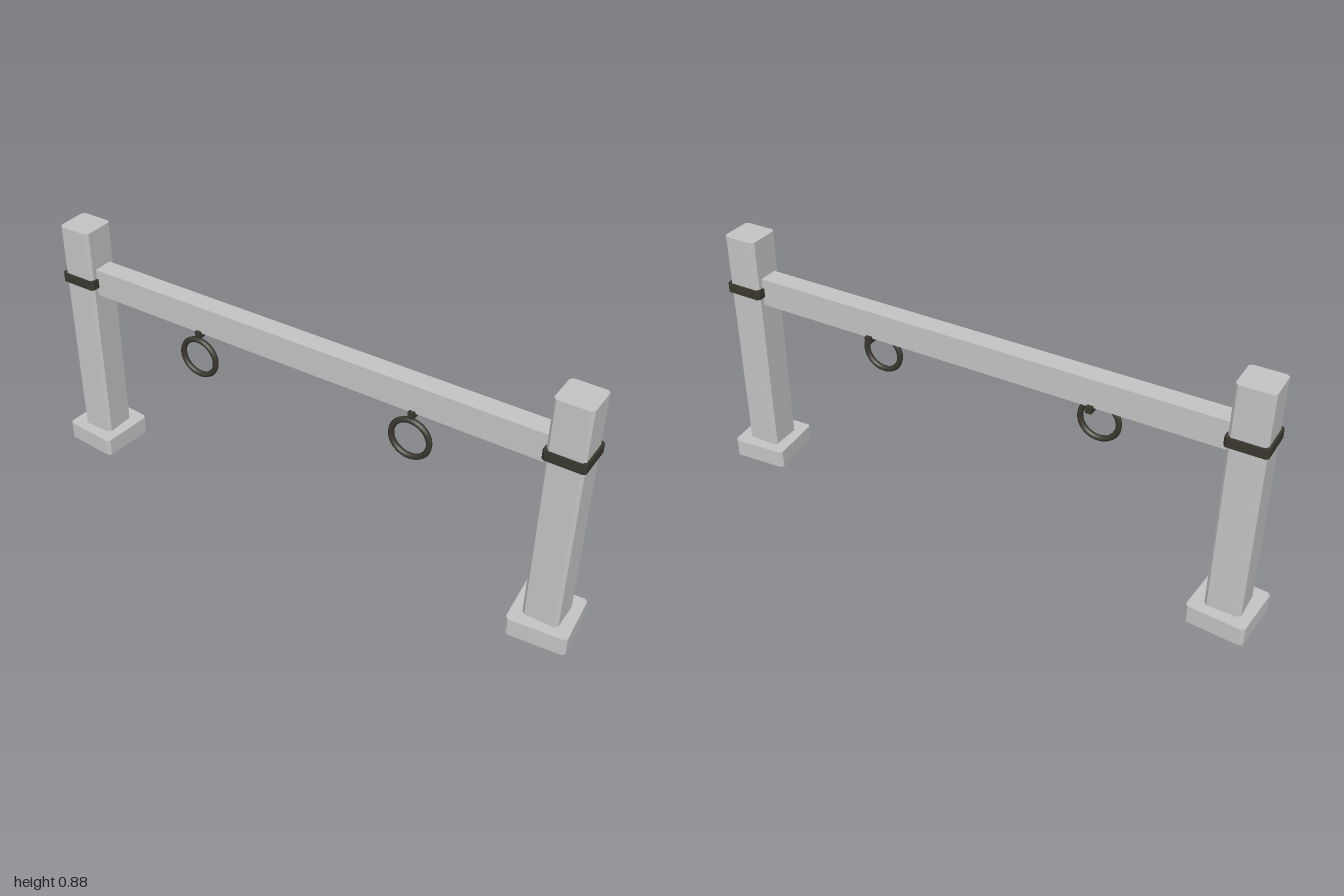
import * as THREE from 'three';

const stone = new THREE.MeshStandardMaterial({ color: 0xc5c5c5 });
stone.name = 'grey stone';
const iron = new THREE.MeshStandardMaterial({ color: 0x3a382f });
iron.name = 'dark iron';

// Square outline with cut corners
function chamferedSquare(size, cut, Type = THREE.Shape) {
  const h = size / 2, k = h - cut;
  return new Type([[k, -h], [h, -k], [h, k], [k, h], [-k, h], [-h, k], [-h, -k], [-k, -h]]
    .map(([x, y]) => new THREE.Vector2(x, y)));
}

// Upright prism on that outline, from y0 to y1, optionally hollow
function prism(name, material, size, cut, y0, y1, hole = 0) {
  const shape = chamferedSquare(size, cut);
  if (hole) shape.holes.push(chamferedSquare(hole, cut, THREE.Path));
  const geometry = new THREE.ExtrudeGeometry(shape, { depth: y1 - y0, bevelEnabled: false });
  geometry.rotateX(-Math.PI / 2).translate(0, y0, 0);
  const mesh = new THREE.Mesh(geometry, material);
  mesh.name = name;
  return mesh;
}

export function createModel() {
  const model = new THREE.Group();
  model.name = 'hitchingRail';

  for (const side of [-1, 1]) {
    const label = side > 0 ? 'left' : 'right';

    // Post on a slightly turned footing, with an iron band
    const support = new THREE.Group();
    support.name = label + 'Support';
    support.position.x = side * 0.894;
    const footing = prism('footing', stone, 0.2, 0.01, 0, 0.065);
    footing.position.x = side * -0.001;
    footing.rotation.y = side * 0.08;
    support.add(
      footing,
      prism('post', stone, 0.12, 0.01, 0.065, 0.882),
      prism('band', iron, 0.135, 0.008, 0.674, 0.706, 0.118),
    );
    model.add(support);

    // Tether ring hung from a bar under the rail
    const tether = new THREE.Group();
    tether.name = label + 'Tether';
    tether.position.x = side * 0.4;
    const bar = new THREE.Mesh(new THREE.BoxGeometry(0.02, 0.024, 0.094), iron);
    bar.name = 'ringBar';
    bar.position.set(0, 0.637, -0.001);
    const ring = new THREE.Mesh(new THREE.TorusGeometry(0.066, 0.01, 8, 32), iron);
    ring.name = 'tetherRing';
    ring.position.set(0, 0.55, 0.04);
    tether.add(bar, ring);
    model.add(tether);
  }

  // Rail between the posts
  const rail = new THREE.Mesh(new THREE.BoxGeometry(1.67, 0.098, 0.07), stone);
  rail.name = 'rail';
  rail.position.y = 0.691;
  model.add(rail);

  return model;
}
